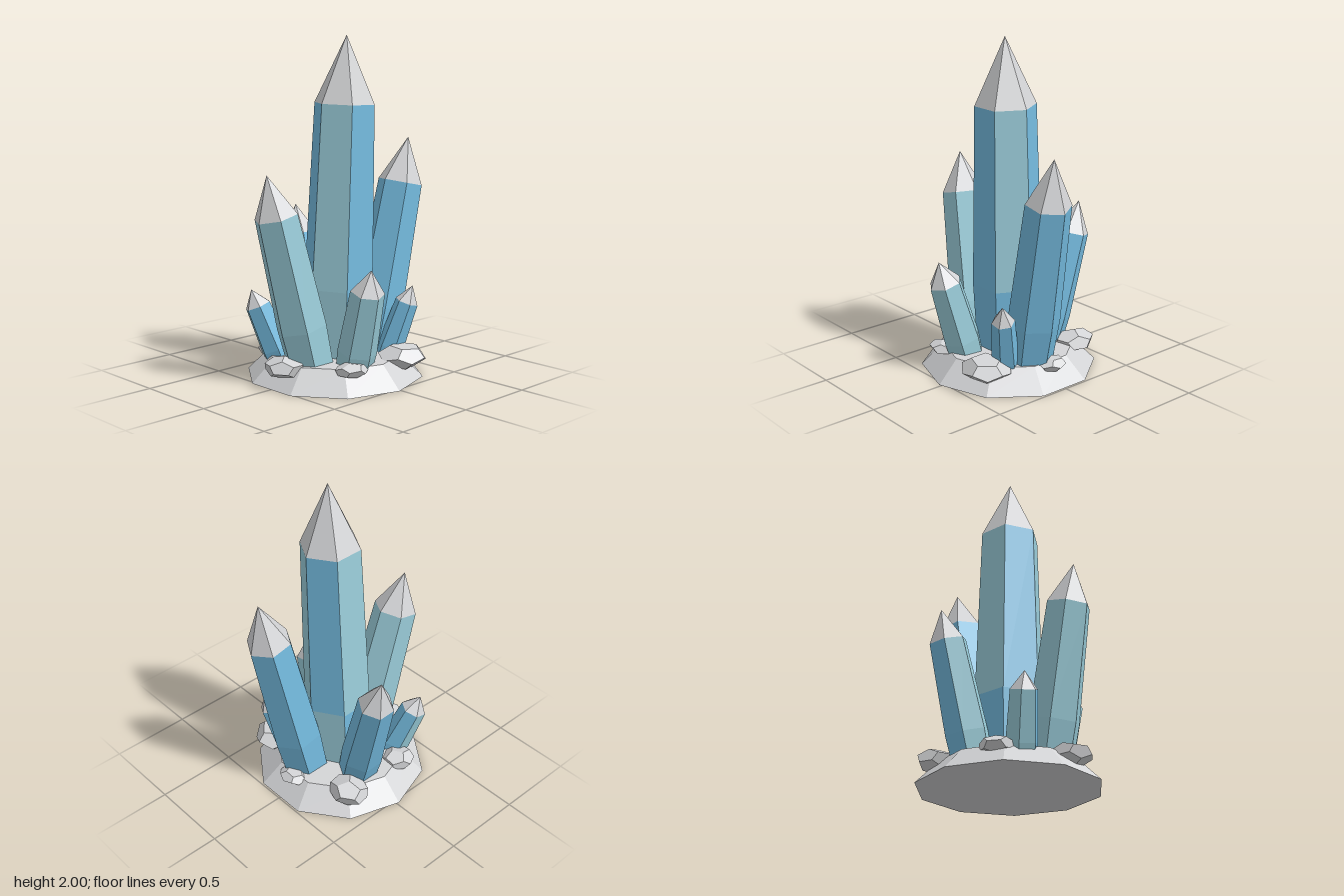
import * as THREE from 'three';

const mat = (name, color) => {
  const m = new THREE.MeshStandardMaterial({ color, flatShading: true });
  m.name = name;
  return m;
};

export function createModel() {
  const grey = mat('pale grey', 0xd4d5d7);
  const blue = mat('crystal blue', 0x76bde1);
  const teal = mat('crystal teal', 0x9ccfdc);
  const model = new THREE.Group();

  function add(name, geometry, material) {
    const mesh = new THREE.Mesh(geometry, material);
    mesh.name = name;
    model.add(mesh);
    return mesh;
  }

  // Ten-sided tapered plinth
  add('base', new THREE.CylinderGeometry(0.4, 0.53, 0.13, 10), grey).position.set(-0.015, 0.065, 0);

  // Hexagonal crystal: swelling foot, tapering shaft, pointed grey cap.
  // foot and shaft give the colour of each of the six sides, b or t, starting at the front.
  function crystal(name, base, tip, r, foot, shaft = foot, spin = 0) {
    const start = new THREE.Vector3(...base);
    const axis = new THREE.Vector3(...tip).sub(start);
    const length = axis.length();
    const rings = [[0, 0.9 * r], [0.25, r], [0.8, 0.86 * r], [1, 0]];
    const point = (ring, k) => {
      const a = (k - 0.5) * Math.PI / 3 + spin;
      const [t, radius] = rings[ring];
      return [Math.sin(a) * radius, t * length, Math.cos(a) * radius];
    };
    const positions = [];
    const geometry = new THREE.BufferGeometry();
    for (let row = 0; row < 3; row++) {
      for (let k = 0; k < 6; k++) {
        const first = positions.length / 3;
        const [a, b, c, d] = [point(row, k), point(row, k + 1), point(row + 1, k + 1), point(row + 1, k)];
        positions.push(...a, ...b, ...c);
        if (row < 2) positions.push(...a, ...c, ...d);
        const slot = row === 2 ? 2 : (row === 0 ? foot : shaft)[k] === 'b' ? 0 : 1;
        geometry.addGroup(first, positions.length / 3 - first, slot);
      }
    }
    geometry.setAttribute('position', new THREE.Float32BufferAttribute(positions, 3));
    geometry.computeVertexNormals();
    const mesh = add(name, geometry, [blue, teal, grey]);
    mesh.position.copy(start);
    mesh.quaternion.setFromUnitVectors(new THREE.Vector3(0, 1, 0), axis.normalize());
  }

  crystal('centralCrystal', [-0.01, 0.04, 0.003], [0.025, 2, 0.06], 0.21, 'bbtbbt', 'btbtbt');
  crystal('leftCrystal', [0.22, 0.04, 0.05], [0.5, 1.39, 0.112], 0.157, 'bbbbbb');
  crystal('rightCrystal', [-0.24, 0.04, 0.05], [-0.512, 1.225, -0.03], 0.152, 'tttttt');
  crystal('backCrystal', [0.05, 0.04, -0.21], [0.098, 0.96, -0.465], 0.127, 'bbbbtt');
  crystal('frontCrystal', [-0.1, 0.04, 0.24], [-0.14, 0.7, 0.425], 0.116, 'tttttt', 'tttttt', 0.4);
  crystal('smallLeftCrystal', [0.2, 0.04, 0.2], [0.315, 0.53, 0.325], 0.08, 'bbbbbb');
  crystal('smallRightCrystal', [-0.25, 0.04, -0.19], [-0.385, 0.51, -0.325], 0.093, 'bbbttb');

  // Flattened faceted stones around the plinth: x, y, z, half sizes, turn
  const stones = [
    [0.38, 0.12, 0, 0.075, 0.04, 0.09, 0.3],
    [0.2, 0.13, 0.35, 0.15, 0.07, 0.14, 0.9],
    [-0.21, 0.125, 0.34, 0.1, 0.04, 0.085, 1.7],
    [-0.435, 0.12, 0.02, 0.11, 0.06, 0.12, 2.2],
    [-0.2, 0.125, -0.33, 0.1, 0.05, 0.095, 0.5],
    [0.22, 0.125, -0.33, 0.11, 0.065, 0.125, 1.2],
  ];
  stones.forEach(([x, y, z, sx, sy, sz, turn], i) => {
    const geometry = new THREE.DodecahedronGeometry(1.04, 0);
    geometry.rotateX(0.4 + i * 0.3).rotateY(turn).scale(sx, sy, sz);
    geometry.computeVertexNormals();
    add('stone' + (i + 1), geometry, grey).position.set(x, y, z);
  });

  return model;
}
